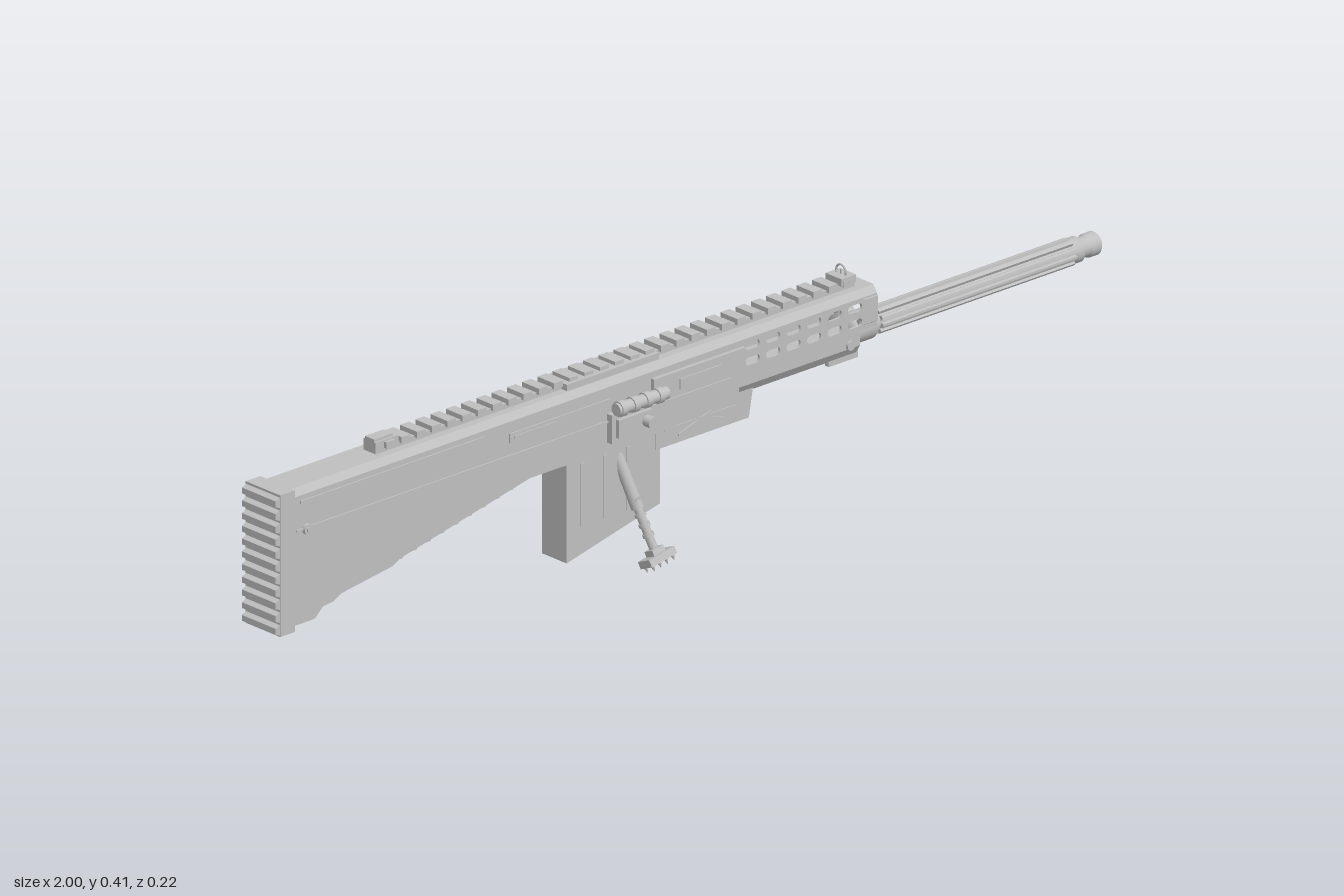
import * as THREE from 'three';

const steel = new THREE.MeshStandardMaterial({ color: 0xbfbfbf });
steel.name = 'light grey';

export function createModel() {
  const model = new THREE.Group();
  model.name = 'rifle';

  const add = (name, geo, parent = model) => {
    const m = new THREE.Mesh(geo, steel);
    m.name = name;
    parent.add(m);
    return m;
  };
  // Box given by its limits
  const box = (name, x0, x1, y0, y1, z0, z1, parent) =>
    add(name, new THREE.BoxGeometry(x1 - x0, y1 - y0, z1 - z0)
      .translate((x0 + x1) / 2, (y0 + y1) / 2, (z0 + z1) / 2), parent);
  const bothSides = (fn) => [1, -1].forEach(fn);
  // Thin raised plate on a side face at |z|
  const plate = (name, s, x0, x1, y0, y1, z, t = 0.003) => {
    const a = s * (z - 0.001), b = s * (z + t);
    return box(name, x0, x1, y0, y1, Math.min(a, b), Math.max(a, b));
  };
  const shapeOf = (pts) => new THREE.Shape(pts.map(p => new THREE.Vector2(...p)));
  // Side outline (x, y) extruded to a width centred on z
  const slab = (name, pts, halfW) =>
    add(name, new THREE.ExtrudeGeometry(shapeOf(pts), { depth: halfW * 2, bevelEnabled: false })
      .translate(0, 0, -halfW));
  // Cross-section (z, y) extruded along x
  const alongX = (name, shape, x0, x1) =>
    add(name, new THREE.ExtrudeGeometry(shape, { depth: x1 - x0, bevelEnabled: false, curveSegments: 20 })
      .rotateY(Math.PI / 2).translate(x0, 0, 0));
  // Round rod between two points
  const rod = (name, a, b, r0, r1 = r0, n = 16, parent = model) => {
    const A = new THREE.Vector3(...a), B = new THREE.Vector3(...b), d = B.clone().sub(A);
    const m = add(name, new THREE.CylinderGeometry(r1, r0, d.length(), n), parent);
    m.position.copy(A).add(B).multiplyScalar(0.5);
    m.quaternion.setFromUnitVectors(new THREE.Vector3(0, 1, 0), d.normalize());
    return m;
  };

  // Stock and receiver
  slab('stockAndReceiver', [[-0.96, 0.352], [-0.96, 0.112], [-0.905, 0.112], [-0.885, 0.13], [-0.86, 0.133],
    [-0.84, 0.143], [-0.72, 0.16], [-0.70, 0.17], [-0.39, 0.236], [-0.07, 0.236], [0.11, 0.25], [0.11, 0.352]], 0.042);
  alongX('topCover', shapeOf([[-0.042, 0.351], [0.042, 0.351], [0.042, 0.357], [0.032, 0.37], [-0.032, 0.37],
    [-0.042, 0.357]]), -0.96, 0.44);
  for (let i = 0; i < 9; i++) {
    const x = -0.70 + i * 0.033, y = 0.166 + i * 0.0071;
    box('gripRib', x, x + 0.018, y - 0.004, y + 0.01, -0.03, 0.03);
  }

  // Butt plate with ribbed back
  slab('buttPlate', [[-0.99, 0.102], [-0.955, 0.102], [-0.955, 0.372], [-0.99, 0.372]], 0.045);
  for (let i = 0; i < 11; i++) {
    const y = 0.104 + i * 0.0243;
    slab('buttRib', [[-0.989, y], [-0.989, y + 0.021], [-1, y + 0.016], [-1, y + 0.005]].reverse(), 0.044);
  }

  // Lower receiver and magazine
  slab('lowerReceiver', [[-0.08, 0.2], [0.142, 0.2], [0.152, 0.255], [-0.08, 0.255]], 0.033);
  slab('magazine', [[-0.293, 0.043], [-0.07, 0.095], [-0.07, 0.24], [-0.293, 0.24]], 0.032);

  // Handguard: slotted side walls, floor and round front opening
  bothSides((s) => {
    const wall = shapeOf([[0.108, 0.295], [0.44, 0.295], [0.44, 0.353], [0.108, 0.353]]);
    for (let row = 0; row < 2; row++) for (let i = 0; i < 6; i++) {
      const x = 0.126 + i * 0.049, y = [0.312, 0.341][row], r = 0.0075, w = 0.034;
      const hole = new THREE.Path();
      hole.moveTo(x + r, y - r);
      hole.lineTo(x + w - r, y - r);
      hole.absarc(x + w - r, y, r, -Math.PI / 2, Math.PI / 2, false);
      hole.lineTo(x + r, y + r);
      hole.absarc(x + r, y, r, Math.PI / 2, Math.PI * 1.5, false);
      wall.holes.push(hole);
    }
    add('handguardWall', new THREE.ExtrudeGeometry(wall, { depth: 0.005, bevelEnabled: false, curveSegments: 4 })
      .translate(0, 0, s > 0 ? 0.037 : -0.042));
  });
  alongX('handguardFloor', shapeOf([[-0.03, 0.25], [0.03, 0.25], [0.042, 0.268], [0.042, 0.296], [-0.042, 0.296],
    [-0.042, 0.268]]), 0.1, 0.40);
  const frame = shapeOf([[-0.025, 0.287], [0.025, 0.287], [0.043, 0.305], [0.043, 0.352], [0.03, 0.37],
    [-0.03, 0.37], [-0.043, 0.352], [-0.043, 0.305]]);
  frame.holes.push(new THREE.Path().absarc(0, 0.329, 0.032, 0, Math.PI * 2, true));
  alongX('handguardFrame', frame, 0.41, 0.442);
  add('openingRing', new THREE.TorusGeometry(0.034, 0.003, 8, 32).rotateY(Math.PI / 2).translate(0.442, 0.329, 0));
  bothSides((s) => {
    box('frontLug', 0.335, 0.405, 0.241, 0.258, s * 0.026 - 0.005, s * 0.026 + 0.005);
    rod('frontPin', [0.375, 0.275, s * 0.04], [0.375, 0.275, s * 0.047], 0.009);
  });

  // Barrel, lathed along x with a fluted middle
  const by = 0.283;
  const barrel = [[0.0, 0.39], [0.034, 0.39], [0.034, 0.405], [0.029, 0.412], [0.029, 0.455], [0.02, 0.47], [0.02, 0.94],
    [0.024, 0.943], [0.024, 0.955], [0.019, 0.96], [0.019, 0.975], [0.022, 0.978], [0.022, 0.997], [0.019, 1],
    [0.01, 1], [0.01, 0.965], [0, 0.965]];
  const lathe = new THREE.LatheGeometry(barrel.map(p => new THREE.Vector2(...p)), 28);
  add('barrel', lathe.rotateZ(-Math.PI / 2).translate(0, by, 0));
  const flutes = [];
  for (let i = 0; i < 10; i++) for (const [d, r] of [[0, 0.026], [0.16, 0.0265], [0.32, 0.026], [0.38, 0.02], [0.57, 0.02]]) {
    const a = i * Math.PI / 5 + d;
    flutes.push([r * Math.cos(a), by + r * Math.sin(a)]);
  }
  alongX('barrelFlutes', shapeOf(flutes), 0.47, 0.935);

  // Top rail, raised cover and sights
  box('railBase', -0.72, 0.41, 0.368, 0.38, -0.016, 0.016);
  box('raisedCover', -0.29, -0.07, 0.368, 0.382, -0.03, 0.03);
  for (let i = 0; i < 31; i++) {
    const x = -0.715 + i * 0.0365;
    box('railTooth', x, x + 0.021, 0.377, 0.389, -0.022, 0.022);
  }
  box('rearSightBase', -0.735, -0.68, 0.37, 0.392, -0.016, 0.016);
  box('rearSightLeaf', -0.735, -0.69, 0.391, 0.397, -0.012, 0.012);
  box('frontSightBase', 0.375, 0.41, 0.38, 0.394, -0.021, 0.021);
  add('frontSightRing', new THREE.TorusGeometry(0.0125, 0.002, 8, 24).rotateY(Math.PI / 2).translate(0.393, 0.399, 0));
  rod('frontSightPost', [0.393, 0.39, 0], [0.393, 0.403, 0], 0.0015);

  // Side details on both sides
  bothSides((s) => {
    plate('stockStrip', s, -0.94, -0.50, 0.342, 0.347, 0.042);
    plate('seamStrip', s, -0.95, 0.09, 0.290, 0.294, 0.042);
    rod('slingStud', [-0.925, 0.29, s * 0.04], [-0.925, 0.29, s * 0.049], 0.01);
    rod('slingPin', [-0.925, 0.29, s * 0.04], [-0.925, 0.29, s * 0.052], 0.005);
    for (const x of [-0.26, -0.205, -0.15]) plate('magazineRib', s, x, x + 0.009, 0.105, 0.225, 0.032, 0.002);
    for (const t of [-1, 1]) {
      const m = add('crossRib', new THREE.BoxGeometry(0.12, 0.004, 0.003));
      m.position.set(0.03, 0.232, s * 0.034);
      m.rotation.z = t * 0.3;
    }
    plate('crossBar', s, -0.06, 0.11, 0.23, 0.234, 0.033, 0.002);
  });

  // Ejection port cover and bolt slot on the front side
  plate('boltSlotRim', 1, -0.44, -0.2, 0.317, 0.335, 0.042, 0.003);
  plate('boltSlot', 1, -0.43, -0.33, 0.323, 0.329, 0.045, 0.002);
  plate('ejectionCover', 1, -0.10, 0.12, 0.303, 0.345, 0.042, 0.008);
  plate('ejectionCoverStep', 1, -0.04, 0.06, 0.31, 0.33, 0.05, 0.003);

  // Charging handle
  rod('handleStem', [-0.09, 0.305, 0.04], [-0.09, 0.32, 0.065], 0.006);
  rod('chargingHandle', [-0.205, 0.321, 0.065], [-0.085, 0.321, 0.065], 0.012);
  for (const x of [-0.2, -0.17, -0.14, -0.11]) rod('handleBand', [x, 0.321, 0.065], [x + 0.012, 0.321, 0.065], 0.0145);

  // Bipod mounts, legs and spiked feet
  bothSides((s) => {
    const x0 = s > 0 ? -0.205 : -0.16;
    plate('bipodMount', s, x0, -0.105, 0.252, 0.307, 0.042, 0.012);
    plate('mountCap', s, x0 + 0.01, -0.115, 0.262, 0.297, 0.053, 0.009);
    const leg = new THREE.Group();
    leg.name = s > 0 ? 'frontLeg' : 'backLeg';
    model.add(leg);
    const top = [-0.165, 0.215, s * 0.022], foot = [-0.132, 0.035, s * 0.088];
    const at = (t) => top.map((v, i) => v + (foot[i] - v) * t);
    rod('upperLeg', at(0), at(0.55), 0.011, 0.012, 12, leg);
    rod('lowerLeg', at(0.5), at(1), 0.008, 0.008, 12, leg);
    for (const t of [0.6, 0.7, 0.8]) rod('legRing', at(t), at(t + 0.035), 0.0105, 0.0105, 12, leg);
    const p = at(0.45);
    rod('legPin', [p[0], p[1], p[2] - 0.012], [p[0], p[1], p[2] + 0.012], 0.006, 0.006, 12, leg);
    const shoe = new THREE.Group();
    shoe.name = 'foot';
    shoe.position.set(-0.13, 0.03, s * 0.089);
    shoe.rotation.set(-s * 0.4, 0, 0.15);
    leg.add(shoe);
    box('shoePad', -0.032, 0.032, -0.011, 0.003, -0.016, 0.016, shoe);
    box('shoeAnkle', -0.014, 0.014, 0, 0.014, -0.011, 0.011, shoe);
    for (let i = 0; i < 4; i++) for (const z of [-0.01, 0.01])
      rod('spike', [-0.025 + i * 0.0167, -0.01, z], [-0.025 + i * 0.0167, -0.021, z], 0.004, 0.0005, 6, shoe);
  });

  // Clamp knob on the front mount
  rod('knobStem', [-0.13, 0.28, 0.05], [-0.13, 0.28, 0.08], 0.007);
  rod('clampKnob', [-0.13, 0.28, 0.064], [-0.13, 0.28, 0.081], 0.011);

  return model;
}
